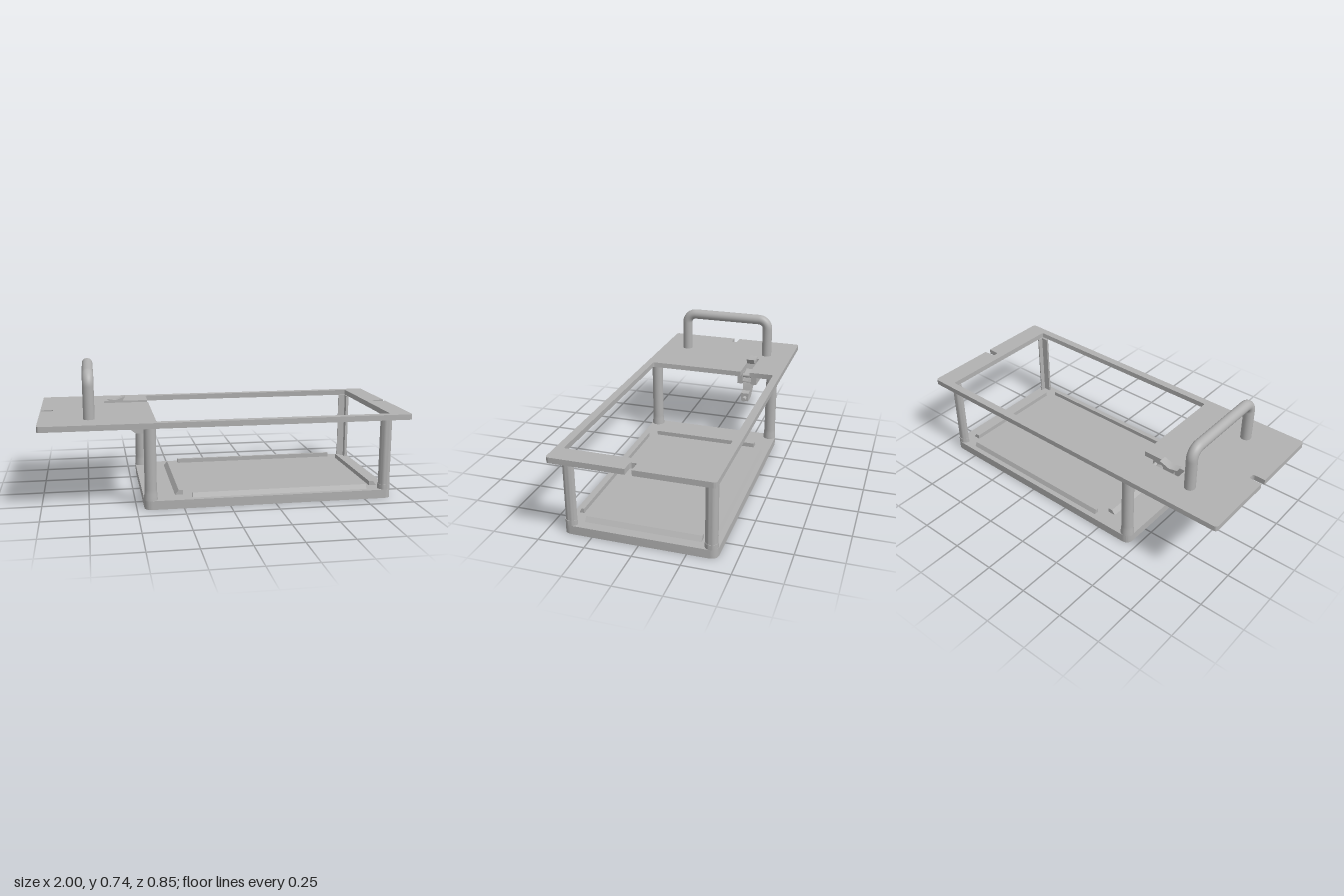
import * as THREE from 'three';
import { toCreasedNormals } from 'three/addons/utils/BufferGeometryUtils.js';

const metal = new THREE.MeshStandardMaterial({ color: 0xb2b2b2 });
metal.name = 'grey metal';

// Traces a closed outline; each point is [x, y, optional corner radius].
function trace(path, pts) {
  const n = pts.length;
  pts.forEach((p, i) => {
    const toward = (q) => {
      const d = Math.hypot(q[0] - p[0], q[1] - p[1]);
      const r = p[2] || 0;
      return [p[0] + (q[0] - p[0]) * r / d, p[1] + (q[1] - p[1]) * r / d];
    };
    const a = toward(pts[(i + n - 1) % n]);
    const b = toward(pts[(i + 1) % n]);
    if (i === 0) path.moveTo(a[0], a[1]);
    else path.lineTo(a[0], a[1]);
    if (p[2]) path.quadraticCurveTo(p[0], p[1], b[0], b[1]);
  });
  path.closePath();
  return path;
}

const extrude = (shape, depth) => toCreasedNormals(
  new THREE.ExtrudeGeometry(shape, { depth, bevelEnabled: false, curveSegments: 10 }), 0.6);

// Horizontal slab: outline is in x and z, from y0 up to y1.
const slab = (shape, y0, y1) => extrude(shape, y1 - y0).rotateX(Math.PI / 2).translate(0, y1, 0);

export function createModel() {
  const model = new THREE.Group();
  model.name = 'carryingFrame';
  const add = (name, geometry, parent = model) => {
    const mesh = new THREE.Mesh(geometry, metal);
    mesh.name = name;
    parent.add(mesh);
    return mesh;
  };
  const PLATE_LOW = 0.443, PLATE_TOP = 0.473, BASE_TOP = 0.048;

  // Top plate with end notches, a large opening and a latch slot
  const plate = trace(new THREE.Shape(), [
    [-1, -0.425, 0.02], [1, -0.425, 0.02],
    [1, -0.018], [0.93, -0.018, 0.012], [0.93, 0.018, 0.012], [1, 0.018],
    [1, 0.425, 0.02], [-1, 0.425, 0.02],
    [-1, 0.018], [-0.93, 0.018, 0.012], [-0.93, -0.018, 0.012], [-1, -0.018],
  ]);
  plate.holes.push(trace(new THREE.Path(), [
    [-0.39, -0.382, 0.012], [-0.39, -0.238], [-0.645, -0.238], [-0.645, -0.18], [-0.39, -0.18],
    [-0.39, 0.382, 0.012], [0.885, 0.382, 0.012], [0.885, -0.382, 0.012],
  ]));
  add('topPlate', slab(plate, PLATE_LOW, PLATE_TOP));

  // Base tray floor
  add('basePlate', slab(trace(new THREE.Shape(), [
    [-0.46, -0.405, 0.045], [0.905, -0.405, 0.045], [0.905, 0.405, 0.045], [-0.46, 0.405, 0.045],
  ]), 0, BASE_TOP));

  // Corner posts: full round near the handle, notched on the inside at the far end
  const flare = [[0.037, BASE_TOP], [0.036, 0.065], [0.034, 0.085], [0.0325, 0.105], [0.0325, PLATE_LOW]];
  for (const side of [-1, 1]) {
    const round = add('roundPost', new THREE.LatheGeometry(flare.map((p) => new THREE.Vector2(...p)), 32));
    round.position.set(-0.425, 0, side * 0.368);

    const section = new THREE.Shape();
    if (side > 0) {
      section.moveTo(0.008, 0);
      section.lineTo(0.008, -0.0315);
      section.absarc(0, 0, 0.0325, -1.32, Math.PI, false);
    } else {
      section.moveTo(0.008, 0);
      section.lineTo(-0.0325, 0);
      section.absarc(0, 0, 0.0325, Math.PI, Math.PI * 2 + 1.32, false);
    }
    section.closePath();
    const geometry = slab(section, BASE_TOP, PLATE_LOW);
    const notched = add('notchedPost', geometry);
    notched.position.set(0.87, 0, side * 0.368);
    // Flared foot of the notched post
    const foot = add('postFoot', slab(section, BASE_TOP, 0.075));
    foot.scale.set(1.08, 1, 1.08);
    foot.position.copy(notched.position);
  }

  // Locating rails with a sloped outer face
  const railShape = (w) => trace(new THREE.Shape(), [
    [0, 0], [w, 0], [w * 0.55, 0.025], [0, 0.025],
  ]);
  const rail = (name, width, length, x, z, turn) => {
    const mesh = add(name, extrude(railShape(width), length).translate(0, 0, -length / 2));
    mesh.position.set(x, BASE_TOP, z);
    mesh.rotation.y = turn;
  };
  rail('endRail', 0.042, 0.62, 0.808, 0, 0);
  rail('endRail', 0.045, 0.62, -0.245, 0, Math.PI);
  rail('sideRail', 0.026, 0.97, 0.285, 0.35, -Math.PI / 2);
  rail('sideRail', 0.026, 0.97, 0.285, -0.35, Math.PI / 2);

  // Carrying handle
  const v = (y, z) => new THREE.Vector3(-0.735, y, z);
  const handlePath = new THREE.CurvePath();
  const H = 0.265, T = 0.705, B = 0.056, K = B * 0.45;
  handlePath.add(new THREE.LineCurve3(v(PLATE_TOP, H), v(T - B, H)));
  handlePath.add(new THREE.CubicBezierCurve3(v(T - B, H), v(T - K, H), v(T, H - K), v(T, H - B)));
  handlePath.add(new THREE.LineCurve3(v(T, H - B), v(T, B - H)));
  handlePath.add(new THREE.CubicBezierCurve3(v(T, B - H), v(T, K - H), v(T - K, -H), v(T - B, -H)));
  handlePath.add(new THREE.LineCurve3(v(T - B, -H), v(PLATE_TOP, -H)));
  add('handle', new THREE.TubeGeometry(handlePath, 120, 0.03, 24));

  // Latch: two bracket cheeks, a swinging arm, hinge pins and a locking pin
  const latch = new THREE.Group();
  latch.name = 'latch';
  latch.position.z = -0.208;
  model.add(latch);
  for (const side of [-1, 1]) {
    add('latchCheek', new THREE.BoxGeometry(0.19, 0.068, 0.033), latch)
      .position.set(-0.54, 0.409, side * 0.0435);
  }
  add('latchArm', extrude(trace(new THREE.Shape(), [
    [-0.63, 0.497], [-0.605, 0.473], [-0.59, 0.44], [-0.585, 0.375], [-0.465, 0.283], [-0.4, 0.28],
    [-0.4, 0.33], [-0.44, 0.335], [-0.455, 0.4], [-0.48, 0.437, 0.01], [-0.535, 0.443],
    [-0.545, 0.473], [-0.522, 0.507], [-0.58, 0.487],
  ]), 0.046).translate(0, 0, -0.023), latch);
  for (const [x, y] of [[-0.463, 0.425], [-0.463, 0.387]]) {
    add('hingePin', new THREE.CylinderGeometry(0.012, 0.012, 0.06, 20).rotateX(Math.PI / 2), latch)
      .position.set(x, y, 0);
  }
  add('lockingPin', new THREE.CylinderGeometry(0.012, 0.012, 0.04, 20).rotateZ(Math.PI / 2), latch)
    .position.set(-0.388, 0.301, 0);

  return model;
}
